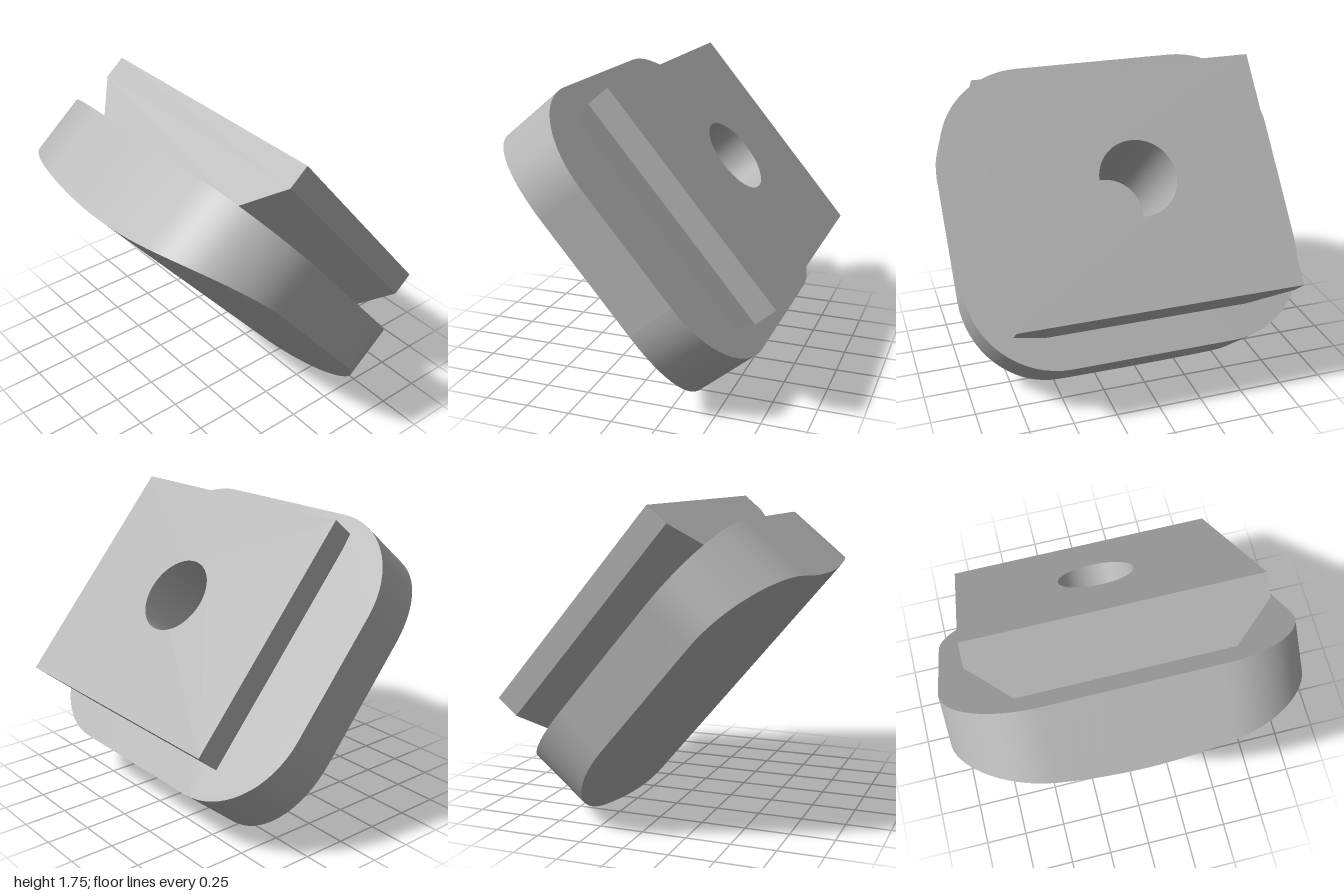
import * as THREE from 'three';

const CORNER = 0.52, HALF_H = 0.89;            // rounded pad outline
const HOLE_R = 0.22, HOLE_Y = 0.035, HOLE_DEPTH = 0.72;
const BLOCK_W = 0.81, FOOT_W = 0.6, BLOCK_H = 0.695;

// Pad thickness: a cylindrical crown, thickest on the centre line
const crown = (x) => 0.469 - (3.03 - Math.sqrt(3.03 * 3.03 - x * x));

// Columns [x, half height] across the pad, dense at the round corners
function padColumns() {
  const right = [];
  for (let i = 0; i <= 16; i++) {
    const a = (i / 16) * Math.PI / 2;
    right.push([1 - CORNER + CORNER * Math.sin(a), HALF_H - CORNER + CORNER * Math.cos(a)]);
  }
  const middle = [];
  for (let i = 1; i < 12; i++) middle.push([(1 - CORNER) * (i / 6 - 1), HALF_H]);
  const left = right.map(([x, h]) => [-x, h]).reverse();
  return [...left, ...middle, ...right];
}

// Two-row sheet whose vertices are placed by place(column, row)
function sheet(columns, place) {
  const geo = new THREE.PlaneGeometry(1, 1, columns - 1, 1);
  const pos = geo.attributes.position;
  for (let i = 0; i < pos.count; i++) pos.setXYZ(i, ...place(i % columns, Math.floor(i / columns)));
  geo.computeVertexNormals();
  return geo;
}

function addHole(shape) {
  const hole = new THREE.Path();
  hole.absarc(0, HOLE_Y, HOLE_R, 0, Math.PI * 2, true);
  shape.holes.push(hole);
  return shape;
}

// Rectangular slab pierced by the hole
function slab(z, depth) {
  const w = BLOCK_W, h = BLOCK_H;
  const shape = new THREE.Shape([[-w, -h], [w, -h], [w, h], [-w, h]].map((p) => new THREE.Vector2(...p)));
  const geo = new THREE.ExtrudeGeometry(addHole(shape), { depth, bevelEnabled: false, curveSegments: 32 });
  return geo.translate(0, 0, z);
}

export function createModel() {
  const grey = new THREE.MeshStandardMaterial({ color: 0xb4b4b4 });
  grey.name = 'plain grey';
  const model = new THREE.Group();
  model.name = 'tiltedDovetailPad';
  const add = (name, geo) => {
    const mesh = new THREE.Mesh(geo, grey);
    mesh.name = name;
    model.add(mesh);
  };

  // Pad: crowned face, rim wall and flat back
  const cols = padColumns();
  add('padCrownedFace', sheet(cols.length, (c, row) => {
    const [x, h] = cols[c];
    return [-x, row ? -h : h, -crown(x)];
  }));
  const outline = [
    ...cols.map(([x, h]) => [x, -h]),
    ...[...cols].reverse().map(([x, h]) => [x, h]),
  ];
  const loop = [...outline, outline[0]];
  add('padRim', sheet(loop.length, (c, row) => {
    const [x, y] = loop[c];
    return [x, y, row ? -crown(x) : 0];
  }));
  const backShape = addHole(new THREE.Shape(outline.map((p) => new THREE.Vector2(...p))));
  add('padBack', new THREE.ShapeGeometry(backShape, 32));

  // Dovetail: flared neck below a straight slab
  const neck = slab(0, 0.222);
  const pos = neck.attributes.position;
  for (let i = 0; i < pos.count; i++) {
    const x = pos.getX(i);
    if (Math.abs(x) > 0.8 && pos.getZ(i) < 0.01) pos.setX(i, Math.sign(x) * FOOT_W);
  }
  neck.computeVertexNormals();
  add('dovetailNeck', neck);
  add('dovetailSlab', slab(0.222, 0.14));

  // Blind bore with a smooth inward-facing wall
  const r = HOLE_R - 0.001, top = 0.362, floor = top - HOLE_DEPTH;
  const wall = new THREE.LatheGeometry([new THREE.Vector2(r, top), new THREE.Vector2(r, floor)], 48);
  add('boreWall', wall.rotateX(Math.PI / 2).translate(0, HOLE_Y, 0));
  add('boreFloor', new THREE.CircleGeometry(r, 48).translate(0, HOLE_Y, floor));

  // Lean the whole piece so the dovetail faces up and back
  const s = Math.sin(THREE.MathUtils.degToRad(40)), c = Math.cos(THREE.MathUtils.degToRad(40));
  const basis = new THREE.Matrix4().makeBasis(
    new THREE.Vector3(-1, 0, 0), new THREE.Vector3(0, c, s), new THREE.Vector3(0, s, -c));
  model.quaternion.setFromRotationMatrix(basis);
  model.position.set(0, 0.984, -0.105);

  const root = new THREE.Group();
  root.name = 'model';
  root.add(model);
  return root;
}
